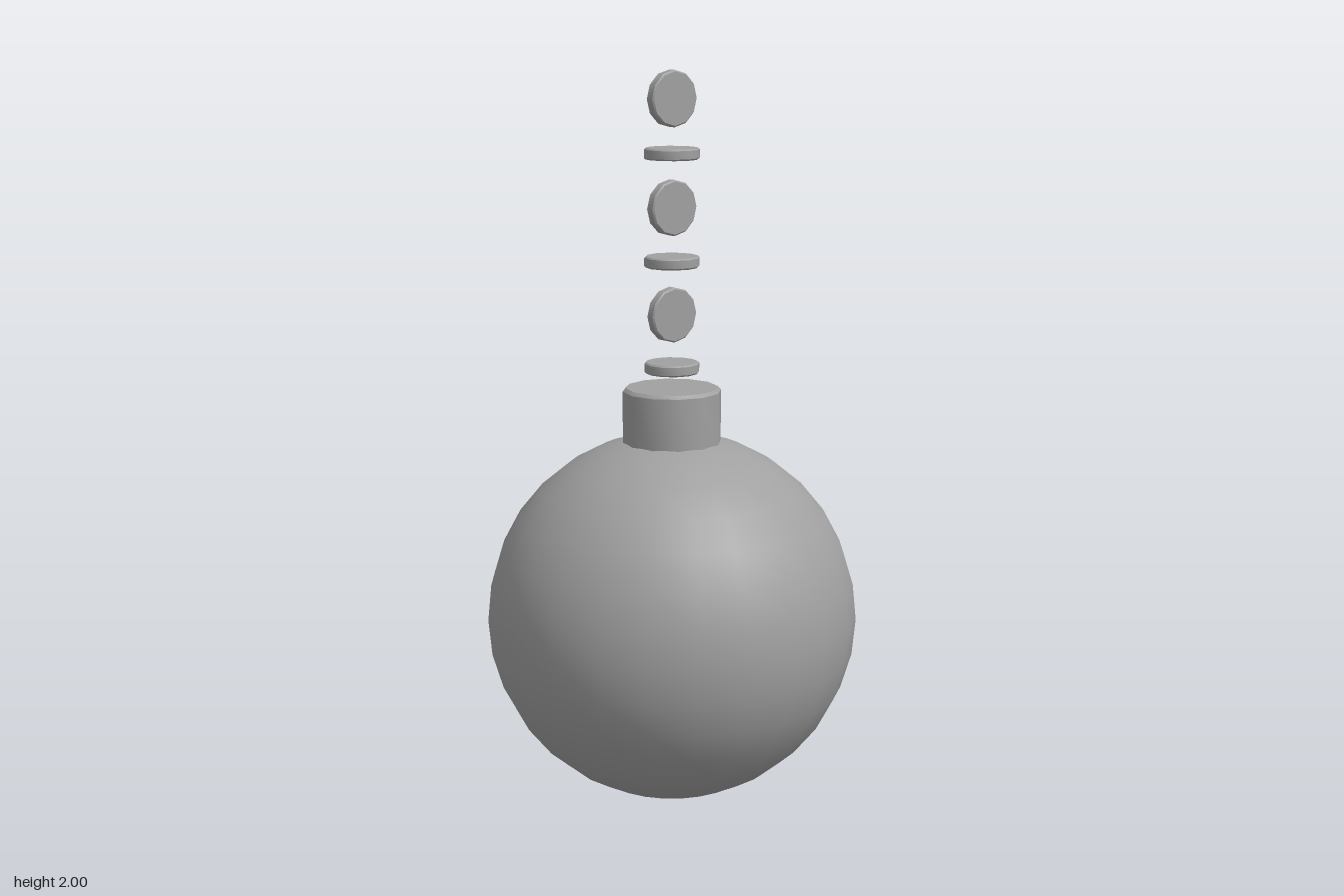
import * as THREE from 'three';
import { toCreasedNormals } from 'three/addons/utils/BufferGeometryUtils.js';

// Twelve-sided disc centred on the origin, with a small chamfer on the rims
function chamferedDisc(radius, height, chamfer) {
  const h = height / 2;
  const profile = [
    [0, -h], [radius - chamfer, -h], [radius, -h + chamfer],
    [radius, h - chamfer], [radius - chamfer, h], [0, h],
  ].map(([x, y]) => new THREE.Vector2(x, y));
  return toCreasedNormals(new THREE.LatheGeometry(profile, 12), 0.7);
}

export function createModel() {
  const group = new THREE.Group();
  const iron = new THREE.MeshStandardMaterial({ name: 'iron grey', color: 0xa0a0a0 });

  const add = (name, geometry, y) => {
    const mesh = new THREE.Mesh(geometry, iron);
    mesh.name = name;
    mesh.position.y = y;
    group.add(mesh);
    return mesh;
  };

  // Heavy ball
  add('ball', new THREE.SphereGeometry(0.51, 24, 16), 0.51);

  // Collar sunk into the top of the ball
  add('collar', chamferedDisc(0.135, 0.19, 0.009), 1.055);

  // Chain of solid links, alternately lying flat and standing upright
  const linkGeometry = chamferedDisc(0.075, 0.03, 0.004);
  for (let i = 0; i < 6; i++) {
    const link = add(`chainLink${i + 1}`, linkGeometry, 1.205 + i * 0.144);
    if (i % 2) link.rotation.x = Math.PI / 2;
  }
  return group;
}
